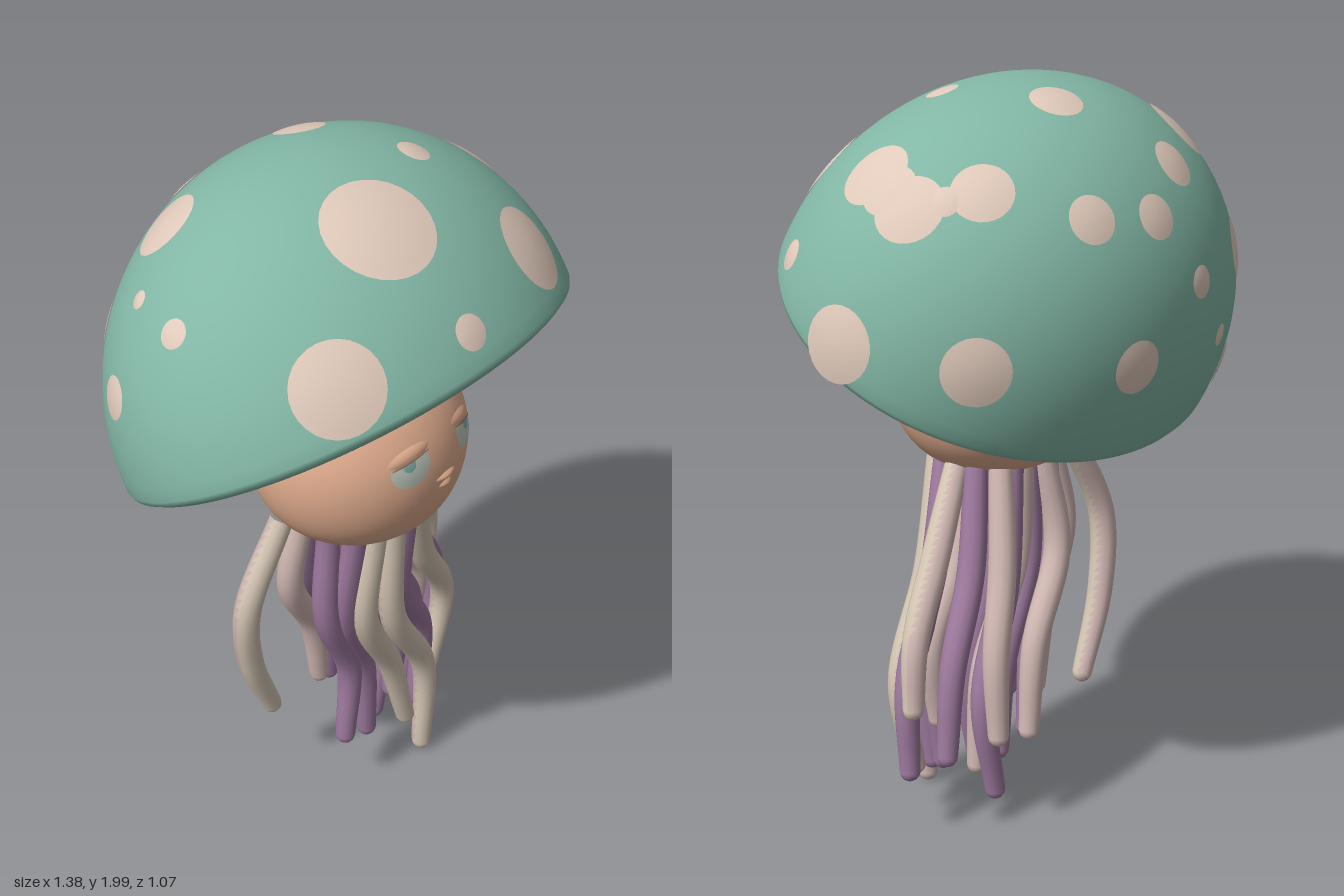
import * as THREE from 'three';
import { mergeGeometries } from 'three/addons/utils/BufferGeometryUtils.js';

const material = (name, color, side = THREE.FrontSide) => {
  const m = new THREE.MeshStandardMaterial({ color, side });
  m.name = name;
  return m;
};

const CAP = new THREE.Vector3(0.685, 0.64, 0.557); // cap radii across, along its axis, front to back
const CAP_CENTRE = new THREE.Vector3(0, 1.375, 0.047);
const TILT = 0.515;
const HEAD = new THREE.Vector3(0.305, 0.295, 0.285);
const HEAD_CENTRE = new THREE.Vector3(0, 1.2, 0.07);
const X_AXIS = new THREE.Vector3(1, 0, 0);

// Pushes a point radially onto an ellipsoid; returns it
function onto(p, radii, lift = 0) {
  const k = p.clone().divide(radii).length();
  return p.multiplyScalar((1 + lift) / k);
}

// Thin curved oval lying on an ellipsoid; "cut" flattens its upper edge
function patch(radii, at, rx, ry, { lift = 0.004, bulge = 0.006, roll = 0, cut = 9 } = {}) {
  const centre = onto(at.clone(), radii);
  const normal = centre.clone().divide(radii).divide(radii).normalize();
  const right = new THREE.Vector3(0, 1, 0).cross(normal).normalize();
  const up = normal.clone().cross(right);
  right.applyAxisAngle(normal, roll);
  up.applyAxisAngle(normal, roll);
  const rings = 5, sides = 28, pos = [], index = [];
  for (let i = 0; i <= rings; i++) {
    for (let j = 0; j < sides; j++) {
      const q = i / rings, a = (j / sides) * Math.PI * 2;
      const p = centre.clone().addScaledVector(right, q * rx * Math.cos(a))
        .addScaledVector(up, Math.min(q * ry * Math.sin(a), cut));
      onto(p, radii, lift + bulge * (1 - q * q));
      pos.push(p.x, p.y, p.z);
      if (i === rings) continue;
      const a0 = i * sides + j, b0 = i * sides + (j + 1) % sides;
      index.push(a0, a0 + sides, b0 + sides, a0, b0 + sides, b0);
    }
  }
  const g = new THREE.BufferGeometry();
  g.setAttribute('position', new THREE.Float32BufferAttribute(pos, 3));
  g.setIndex(index);
  g.computeVertexNormals();
  return g;
}

// Tapered wavy tube with a rounded tip; group 0 faces forward, group 1 backward
function tentacle([x0, z0, x1, x2, x3, tipY, z1]) {
  const ts = [0, 0.36, 0.68, 1], xs = [x0 * 0.96, x1, x2, x3];
  const curve = new THREE.CatmullRomCurve3(ts.map((t, i) => new THREE.Vector3(
    xs[i], THREE.MathUtils.lerp(0.98, tipY, t), THREE.MathUtils.lerp(z0, z1, Math.sin(t * Math.PI / 2)))));
  const n = 28, sides = 12, r = 0.037;
  const tube = new THREE.TubeGeometry(curve, n, r, sides);
  const pos = tube.attributes.position, p = new THREE.Vector3();
  const radiusAt = t => 0.88 + 0.2 * Math.sin(Math.PI * t) - 0.12 * t;
  for (let i = 0; i <= n; i++) {
    const c = curve.getPointAt(i / n);
    for (let j = 0; j <= sides; j++) {
      const k = i * (sides + 1) + j;
      p.fromBufferAttribute(pos, k).sub(c).multiplyScalar(radiusAt(i / n)).add(c);
      pos.setXYZ(k, p.x, p.y, p.z);
    }
  }
  const tip = new THREE.SphereGeometry(r * radiusAt(1), 12, 8).translate(x3, tipY, curve.getPoint(1).z);
  const g = mergeGeometries([tube, tip]);
  const front = [], back = [], normal = g.attributes.normal, ix = g.index.array;
  for (let i = 0; i < ix.length; i += 3) {
    const tri = [ix[i], ix[i + 1], ix[i + 2]];
    const nz = tri.reduce((sum, v) => sum + normal.getZ(v), 0) / 3;
    (nz > -0.2 ? front : back).push(...tri);
  }
  g.setIndex([...front, ...back]);
  g.addGroup(0, front.length, 0);
  g.addGroup(front.length, back.length, 1);
  return g;
}

export function createModel() {
  const model = new THREE.Group();
  const green = material('cap green', 0x82b6a5, THREE.DoubleSide);
  const spotCream = material('spot beige', 0xdfc9ba);
  const plum = material('gill plum', 0x70556f, THREE.DoubleSide);
  const skin = material('skin peach', 0xe0ac8e);
  const cream = material('tentacle cream', 0xd2c4b2);
  const purple = material('tentacle purple', 0x9c789c);
  const pink = material('tentacle pink', 0xceb5b0);
  const eyePale = material('eye pale', 0xbcc6ba);
  const teal = material('iris teal', 0x7fada5);
  const brown = material('crease brown', 0xa87c68);

  const add = (parent, name, geometry, mat) => {
    const mesh = new THREE.Mesh(geometry, mat);
    mesh.name = name;
    parent.add(mesh);
  };

  // Tilted cap with a rolled lip
  const cap = new THREE.Group();
  cap.name = 'cap';
  cap.position.copy(CAP_CENTRE);
  cap.rotation.x = -TILT;
  model.add(cap);
  const profile = [[0.88, 0.02], [0.9, -0.008], [0.93, -0.022], [0.965, -0.025], [0.99, -0.015]]
    .map(([x, y]) => new THREE.Vector2(x, y));
  for (let i = 0; i <= 28; i++) {
    const a = (i / 28) * Math.PI / 2;
    profile.push(new THREE.Vector2(Math.max(Math.cos(a), 0), Math.sin(a) * CAP.y));
  }
  add(cap, 'capShell', new THREE.LatheGeometry(profile, 96).scale(CAP.x, 1, CAP.z), green);

  // Ridged, nearly flat gills under the cap
  const gillProfile = [[0, 0.01], [0.25, 0.005], [0.4, 0.01], [0.6, 0.018], [0.78, 0.004], [0.94, -0.024]]
    .map(([x, y]) => new THREE.Vector2(x, y));
  const gills = new THREE.LatheGeometry(gillProfile, 264);
  const gp = gills.attributes.position;
  for (let i = 0; i < gp.count; i++) {
    const x = gp.getX(i), z = gp.getZ(i), r = Math.hypot(x, z);
    const ridge = 0.012 * Math.sin(Math.PI * Math.min(r / 0.95, 1)) * Math.cos(38 * Math.atan2(x, z));
    gp.setY(i, gp.getY(i) + ridge);
  }
  gills.scale(CAP.x, 1, CAP.z);
  gills.computeVertexNormals();
  add(cap, 'gills', gills, plum);

  // Spots: x, z, radius and height (0 = find the upper surface)
  const spots = [
    [-0.13, 0.225, 0.147, 0], [-0.31, -0.28, 0.095, 0], [-0.09, -0.41, 0.065, 0], [0.075, -0.47, 0.058, 0],
    [0.26, -0.41, 0.062, 0], [0.1, -0.19, 0.068, 0], [0.17, 0.11, 0.043, 0], [0.265, 0.4, 0.118, 1.75],
    [-0.44, 0.34, 0.117, 1.68], [-0.11, 0.485, 0.045, 1.725], [0.43, -0.215, 0.078, 0], [0.53, -0.075, 0.09, 0],
    [0.48, 0.07, 0.092, 0], [0.51, 0, 0.072, 0], [0.49, -0.15, 0.04, 0],
    [0.57, 0.275, 0.04, 1.6], [0.68, 0.03, 0.097, 1.44], [0.58, -0.305, 0.087, 1.4],
    [0.19, -0.5, 0.07, 1.36], [-0.055, -0.53, 0.042, 1.525], [-0.19, -0.51, 0.03, 1.35], [-0.33, -0.44, 0.06, 1.225],
    [-0.51, -0.35, 0.06, 1.245], [-0.37, -0.43, 0.08, 0],
    [-0.6, -0.21, 0.055, 0], [-0.55, -0.05, 0.037, 0], [-0.49, -0.21, 0.024, 0],
  ];
  const toCap = (x, y, z) => new THREE.Vector3(x, y, z).sub(CAP_CENTRE).applyAxisAngle(X_AXIS, TILT);
  spots.forEach(([x, z, r, height]) => {
    let y = height || 2.05;
    if (!height) while (y > 1.2 && toCap(x, y, z).divide(CAP).length() > 1) y -= 0.005;
    add(cap, 'spot', patch(CAP, toCap(x, y, z), r, r), spotCream);
  });

  // Round head with a fuller, flattened underside
  const head = new THREE.Group();
  head.name = 'head';
  head.position.copy(HEAD_CENTRE);
  model.add(head);
  const headProfile = [];
  for (let i = 0; i <= 40; i++) {
    const a = (i / 40 - 0.5) * Math.PI, s = Math.sin(a), c = Math.max(Math.cos(a), 0);
    headProfile.push(s < 0 ? new THREE.Vector2(c ** 0.68, s * 0.26) : new THREE.Vector2(c, s * HEAD.y));
  }
  add(head, 'headBall', new THREE.LatheGeometry(headProfile, 64).scale(HEAD.x, 1, HEAD.z), skin);

  // Sad, half-closed eyes
  for (const side of [-1, 1]) {
    const at = (x, y) => new THREE.Vector3(side * x, y, 0.26);
    const roll = -side * 0.25;
    add(head, 'eye', patch(HEAD, at(0.118, 0.065), 0.06, 0.052, { roll, cut: 0.022, lift: 0.008 }), eyePale);
    add(head, 'iris', patch(HEAD, at(0.124, 0.076), 0.018, 0.017, { roll, cut: 0.012, lift: 0.016, bulge: 0.003 }), teal);
    add(head, 'eyelid', patch(HEAD, at(0.12, 0.104), 0.066, 0.02, { roll, lift: 0, bulge: 0.02 }), skin);
    add(head, 'lidCrease', patch(HEAD, at(0.118, 0.088), 0.06, 0.004, { roll, lift: 0.018, bulge: 0.003 }), brown);
  }

  // Small pouting mouth: a broad upper lip over a narrow lower one
  add(head, 'upperLip', patch(HEAD, new THREE.Vector3(0, -0.008, 0.28), 0.042, 0.012, { lift: -0.002, bulge: 0.035 }), skin);
  add(head, 'lowerLip', patch(HEAD, new THREE.Vector3(0, -0.034, 0.28), 0.028, 0.012, { lift: -0.002, bulge: 0.03 }), skin);

  // Tentacles: root x, root z, two bends in x, tip x, tip height, tip z
  const creamSet = [
    [-0.19, -0.04, -0.295, -0.265, -0.17, 0.28, -0.1], [-0.08, 0.19, -0.09, 0.05, 0.14, 0.15, 0.15],
    [-0.01, 0.2, 0.01, 0.18, 0.185, 0.03, 0.18], [0.12, 0.18, 0.24, 0.4, 0.36, 0.16, 0.08],
    [0.2, 0.06, 0.36, 0.49, 0.52, 0.43, -0.05],
  ];
  const purpleSet = [
    [-0.17, 0.1, -0.17, -0.07, -0.085, 0.21, 0.1], [-0.13, 0.16, -0.12, 0, 0.03, 0.15, 0.09],
    [0.05, 0.2, 0.09, 0.25, 0.25, 0.12, 0.11], [0.03, 0.1, 0.05, 0.18, 0.15, 0.1, 0.03],
    [0.17, 0.12, 0.29, 0.44, 0.455, 0.2, 0.02], [0.09, 0.12, 0.15, 0.3, 0.29, 0.16, 0.04],
    [0.1, -0.05, 0.16, 0.28, 0.24, 0.09, -0.1], [-0.08, -0.03, -0.06, 0.06, 0.1, 0.22, -0.1],
    [0.18, 0.01, 0.26, 0.38, 0.42, 0.26, -0.08], [0, -0.03, 0.02, 0.14, 0.17, 0.17, -0.06],
    [-0.04, 0.15, -0.03, 0.11, 0.11, 0.26, 0.12],
  ];
  const pinkSet = [
    [-0.03, -0.06, -0.04, 0.1, 0.14, 0.24, -0.14], [0.15, -0.05, 0.22, 0.3, 0.31, 0.3, -0.165],
    [-0.12, -0.02, -0.15, -0.04, 0, 0.3, -0.06], [0.04, -0.04, 0.06, 0.2, 0.23, 0.14, -0.03],
    [0.14, 0.06, 0.21, 0.34, 0.32, 0.3, 0.03],
  ];
  [[creamSet, [cream, pink], 'creamTentacle'], [purpleSet, [purple, purple], 'purpleTentacle'],
    [pinkSet, [pink, pink], 'pinkTentacle']]
    .forEach(([set, mats, name]) => set.forEach(t => add(model, name, tentacle(t), mats)));

  return model;
}
